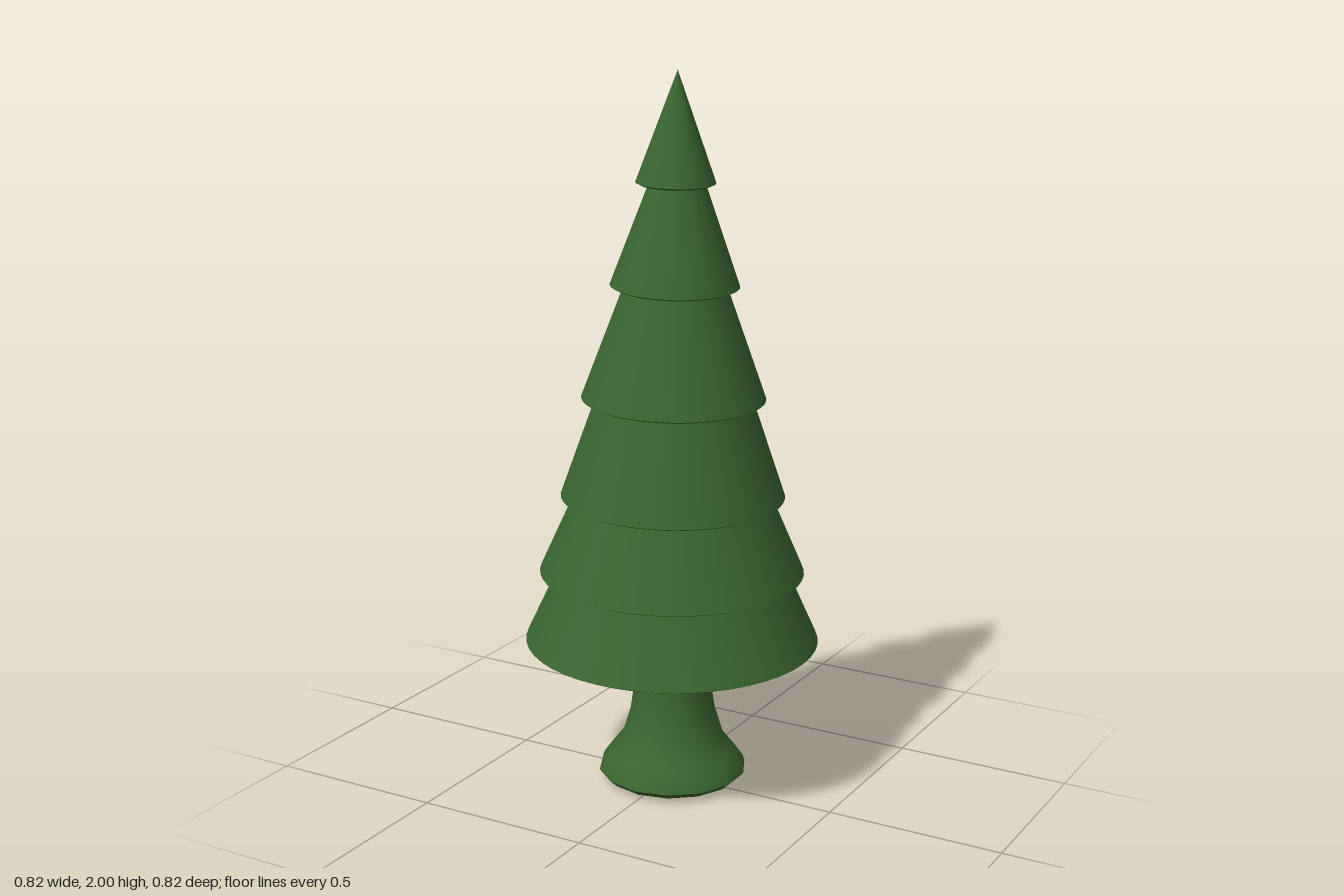
import * as THREE from 'three';
import { toCreasedNormals } from 'three/addons/utils/BufferGeometryUtils.js';

const green = new THREE.MeshStandardMaterial({ color: 0x3a6630, side: THREE.DoubleSide });

// Revolve a bottom-to-top profile of [radius, height] pairs
function turned(name, profile, segments, crease) {
  const points = profile.map(([r, y]) => new THREE.Vector2(r, y));
  const geometry = toCreasedNormals(new THREE.LatheGeometry(points, segments), crease);
  const mesh = new THREE.Mesh(geometry, green);
  mesh.name = name;
  return mesh;
}

export function createModel() {
  const tree = new THREE.Group();
  tree.name = 'pineTree';

  // Trunk with a flared foot, reaching up into the lowest tier
  const trunk = turned('trunk', [
    [0, 0], [0.16, 0.004], [0.19, 0.01], [0.21, 0.028], [0.205, 0.045], [0.18, 0.08],
    [0.145, 0.125], [0.122, 0.2], [0.11, 0.28], [0.106, 0.35], [0.11, 0.43], [0.125, 0.52],
  ], 14, 0.9);
  trunk.position.set(-0.003, 0, -0.008);
  tree.add(trunk);

  // Branch tiers: rim height, rim radius, radius where the next tier covers it, x and z offset
  const tiers = [
    [0.418, 0.41, 0.322, 0, 0],
    [0.617, 0.368, 0.275, 0, 0],
    [0.834, 0.31, 0.217, 0.001, -0.003],
    [1.11, 0.253, 0.142, 0.003, -0.004],
    [1.42, 0.176, 0.078, 0.005, -0.007],
    [1.697, 0.108, 0, 0.007, -0.008],
  ];
  tiers.forEach(([y, r, cover, x, z], i) => {
    const last = i === tiers.length - 1;
    const rise = (last ? 2 : tiers[i + 1][0]) - y;
    const lift = 0.2 * r;
    // Hollow underside, thin rim, sloping side
    const profile = [[0, lift], [0.3 * r, lift], [0.75 * r, 0.09 * r], [r - 0.012, 0], [r, 0.006]];
    if (last) profile.push([0, rise]);
    else {
      const slope = (r - cover) / rise;
      profile.push([cover, rise], [cover - slope * 0.07, rise + 0.07]);
    }
    const tier = turned('branchTier' + (i + 1), profile, 48, 0.7);
    tier.position.set(x, y, z);
    // Each rim leans slightly to one side and forward
    const lean = 0.007 / r;
    tier.rotation.set(lean * 0.6, 0, -lean);
    if (last) tier.rotation.set(0.02, 0, -0.03);
    tree.add(tier);
  });

  return tree;
}
